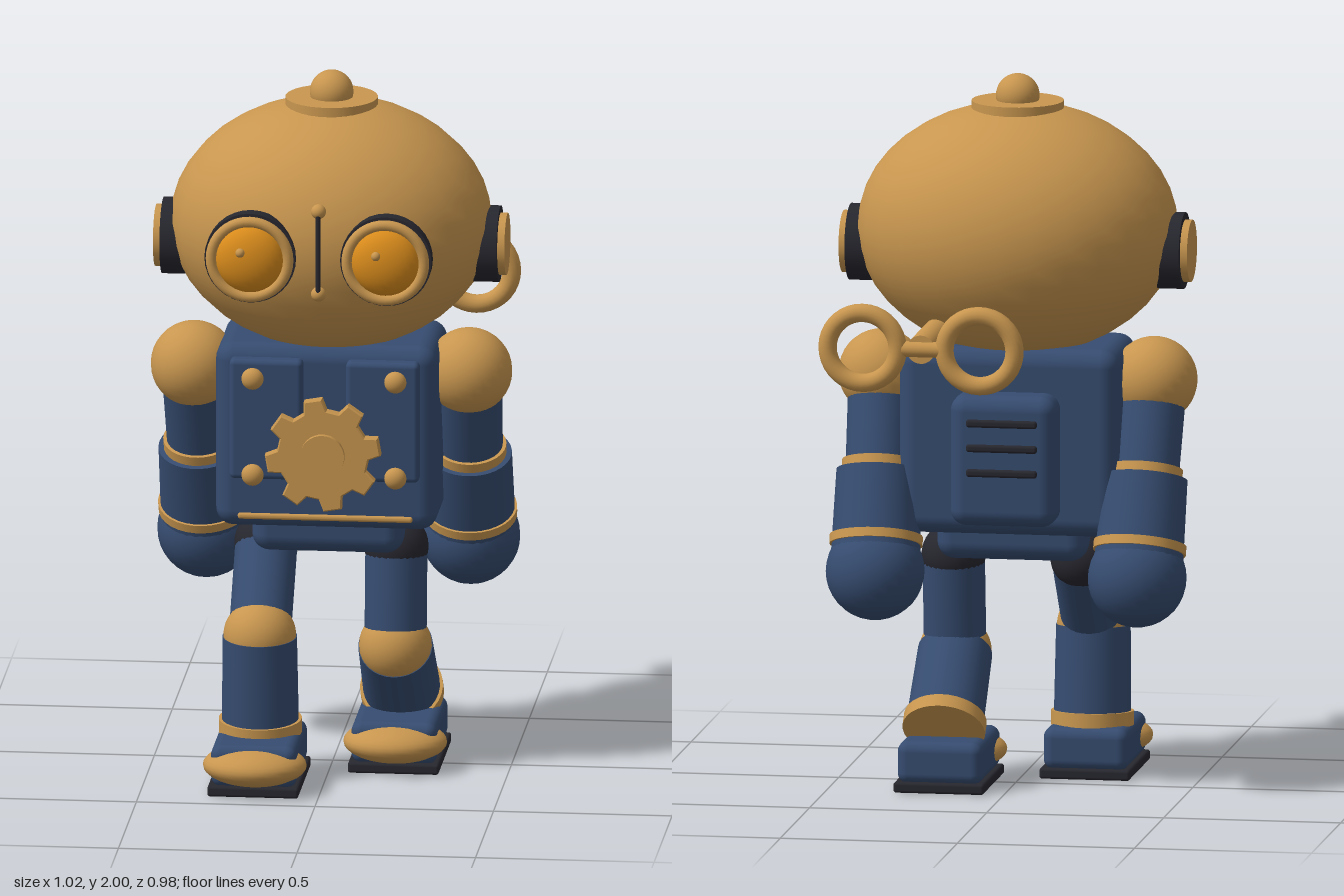
import * as THREE from 'three';
import { RoundedBoxGeometry } from 'three/addons/geometries/RoundedBoxGeometry.js';

const material = (name, color) => {
  const m = new THREE.MeshStandardMaterial({ color });
  m.name = name;
  return m;
};

export function createModel() {
  const brass = material('brass', 0xc8964f);
  const blue = material('blue enamel', 0x364c70);
  const dark = material('dark rubber', 0x27272f);
  const amber = material('amber glass', 0xda8c1c);

  const robot = new THREE.Group();
  robot.name = 'robot';
  const Z = 0.033; // depth of the body axis

  const add = (name, geometry, mat, x = 0, y = 0, z = 0) => {
    const mesh = new THREE.Mesh(geometry, mat);
    mesh.name = name;
    mesh.position.set(x, y, z);
    robot.add(mesh);
    return mesh;
  };
  const ball = (name, mat, r, x, y, z, sx = 1, sy = 1, sz = 1) => {
    const mesh = add(name, new THREE.SphereGeometry(r, 28, 18), mat, x, y, z);
    mesh.scale.set(sx, sy, sz);
    return mesh;
  };
  const box = (name, mat, w, h, d, r, x, y, z) =>
    add(name, new RoundedBoxGeometry(w, h, d, 4, r), mat, x, y, z);
  // Cylinder running from point a to point b
  const rod = (name, mat, a, b, ra, rb = ra) => {
    const dir = b.clone().sub(a);
    const mid = a.clone().add(b).multiplyScalar(0.5);
    const mesh = add(name, new THREE.CylinderGeometry(rb, ra, dir.length(), 32), mat, mid.x, mid.y, mid.z);
    mesh.quaternion.setFromUnitVectors(new THREE.Vector3(0, 1, 0), dir.normalize());
    return mesh;
  };
  const v = (x, y, z) => new THREE.Vector3(x, y, z);

  // Head with cap and knob
  const head = add('head', new THREE.SphereGeometry(1, 28, 20), brass, 0, 1.565, Z);
  head.scale.set(0.45, 0.355, 0.382);
  rod('headCap', brass, v(0, 1.89, Z), v(0, 1.925, Z), 0.129);
  ball('headKnob', brass, 0.061, 0, 1.939, Z);

  // Seam rod between the eyes
  rod('faceRod', dark, v(0, 1.455, 0.412), v(0, 1.69, 0.412), 0.007);
  for (const y of [1.452, 1.69]) ball('faceRodEnd', brass, 0.021, 0, y, 0.4);

  // Chest: body, pelvis, belt strip
  box('torso', blue, 0.62, 0.53, 0.365, 0.05, 0, 0.985, Z);
  box('pelvis', blue, 0.425, 0.13, 0.28, 0.05, 0, 0.705, 0.04);
  box('beltStrip', brass, 0.49, 0.018, 0.03, 0.008, 0, 0.757, 0.207);

  // Gear on the chest
  const gear = new THREE.Shape();
  const teeth = 8, step = (Math.PI * 2) / teeth, phase = THREE.MathUtils.degToRad(100);
  for (let i = 0; i < teeth; i++) {
    for (const [f, r] of [[-0.3, 0.125], [-0.18, 0.158], [0.18, 0.158], [0.3, 0.125]]) {
      const a = phase + (i + f) * step;
      const x = r * Math.cos(a), y = r * Math.sin(a);
      if (i === 0 && f === -0.3) gear.moveTo(x, y);
      else gear.lineTo(x, y);
    }
  }
  gear.closePath();
  add('chestGear', new THREE.ExtrudeGeometry(gear, {
    depth: 0.026, bevelEnabled: true, bevelThickness: 0.004, bevelSize: 0.004, bevelSegments: 1,
  }), brass, 0, 0.955, 0.258);
  rod('gearHub', brass, v(0, 0.955, 0.2), v(0, 0.955, 0.305), 0.062);

  // Backpack with vents
  box('backpack', blue, 0.3, 0.37, 0.17, 0.045, 0, 0.945, -0.16);
  for (const y of [1.055, 0.985, 0.915]) box('vent', dark, 0.2, 0.022, 0.02, 0.008, 0, y, -0.244);

  // Wind-up key
  rod('keyShaft', brass, v(0.19, 1.3, -0.18), v(0.19, 1.3, -0.475), 0.04);
  rod('keyCrossbar', brass, v(0.13, 1.3, -0.47), v(0.25, 1.3, -0.47), 0.022);
  for (const s of [-1, 1]) {
    add('keyRing', new THREE.TorusGeometry(0.099, 0.026, 16, 36), brass, 0.19 + s * 0.165, 1.3, -0.47);
  }

  // Mirrored parts
  for (const s of [-1, 1]) {
    // Eye: rubber cup, brass rim, amber lens, glint
    const ex = s * 0.19, ey = 1.555;
    rod('eyeCup', dark, v(ex, ey, 0.375), v(ex, ey, 0.417), 0.128);
    add('eyeRim', new THREE.TorusGeometry(0.108, 0.015, 14, 40), brass, ex, ey, 0.43);
    ball('eyeLens', amber, 0.098, ex, ey, 0.418, 1, 1, 0.56);
    ball('eyeGlint', brass, 0.013, ex - 0.023, ey + 0.028, 0.468);

    // Ear
    rod('earPad', dark, v(s * 0.4, 1.512, Z), v(s * 0.472, 1.512, Z), 0.107);
    rod('earCap', brass, v(s * 0.46, 1.512, Z), v(s * 0.492, 1.512, Z), 0.087);

    // Chest panel and rivets
    box('chestPanel', blue, 0.205, 0.345, 0.06, 0.015, s * 0.163, 1.043, 0.219);
    for (const y of [1.162, 0.885]) ball('rivet', brass, 0.031, s * 0.2, y, 0.25, 1, 1, 0.8);

    // Arm swung back
    const shoulder = v(s * 0.385, 1.145, 0.037), hand = v(s * 0.37, 0.617, -0.165);
    const at = t => shoulder.clone().lerp(hand, t);
    ball('shoulder', brass, 0.121, ...shoulder);
    rod('upperArm', blue, shoulder, at(0.5), 0.092);
    rod('elbowBand', brass, at(0.445), at(0.495), 0.102);
    rod('forearm', blue, at(0.495), at(0.98), 0.117, 0.126);
    rod('wristBand', brass, at(0.825), at(0.87), 0.13);
    ball('hand', blue, 0.138, ...hand);
  }

  // Legs in mid-stride: the right leg steps forward, the left trails
  const legs = [
    { x: -0.182, knee: [0.415, 0.225], ankle: [0.135, 0.208], foot: 0.247 },
    { x: 0.182, knee: [0.355, 0.066], ankle: [0.165, -0.13], foot: -0.045 },
  ];
  for (const { x, knee: [ky, kz], ankle: [ay, az], foot } of legs) {
    const hip = v(x, 0.635, 0.04), knee = v(x, ky, kz), ankle = v(x, ay, az);
    const along = t => knee.clone().lerp(ankle, t);
    const bandT = 0.04 / knee.distanceTo(ankle);
    ball('hip', dark, 0.09, ...hip);
    rod('thigh', blue, hip, knee, 0.087);
    ball('knee', brass, 0.102, ...knee);
    rod('shin', blue, knee, along(0.98), 0.104, 0.108);
    rod('ankleBand', brass, along(1 - bandT), ankle, 0.116);

    // Foot with sole and toe cap
    box('foot', blue, 0.24, 0.12, 0.345, 0.03, x, 0.083, foot);
    box('sole', dark, 0.255, 0.03, 0.36, 0.008, x, 0.015, foot);
    ball('toeCap', brass, 1, x, 0.08, foot + 0.118, 0.145, 0.057, 0.122);
  }

  return robot;
}
